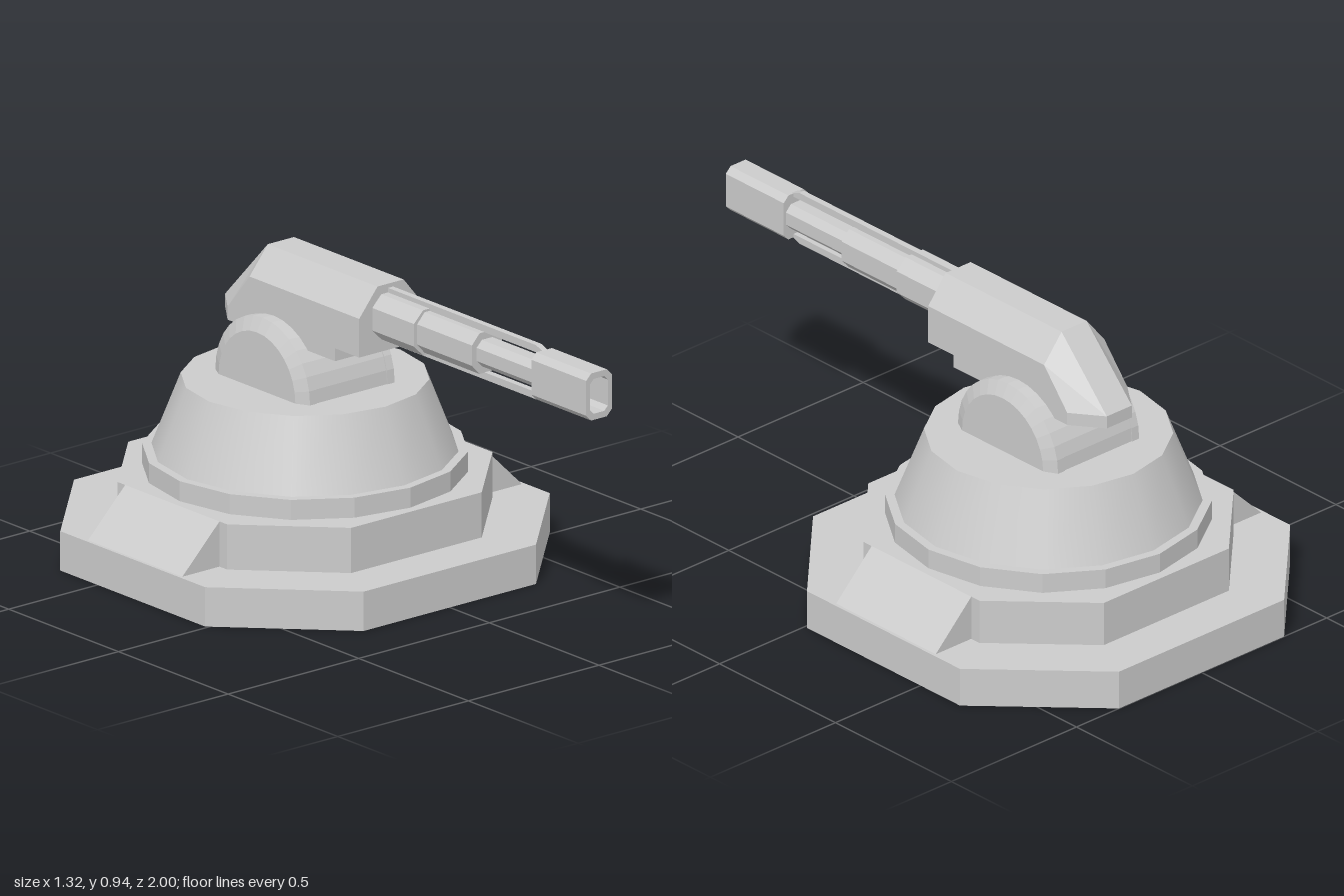
import * as THREE from 'three';

const flat = new THREE.MeshStandardMaterial({ color: 0xcccccc, flatShading: true, side: THREE.DoubleSide });
const smooth = new THREE.MeshStandardMaterial({ color: 0xcccccc });

const TURRET_Z = -0.34;
const BARREL_Y = 0.838;

function add(parent, name, geometry, material = flat) {
  const mesh = new THREE.Mesh(geometry, material);
  mesh.name = name;
  parent.add(mesh);
  return mesh;
}

// Octagon with half-width w, half-height h and flat edges of half-length a (across) and b (upright)
function octagon(w, h, a, b) {
  const points = [[w, -b], [w, b], [a, h], [-a, h], [-w, b], [-w, -b], [-a, -h], [a, -h]];
  return points.map(([x, y]) => new THREE.Vector2(x, y));
}

function extrude(outline, depth, hole) {
  const shape = new THREE.Shape(outline);
  if (hole) shape.holes.push(new THREE.Path(hole));
  return new THREE.ExtrudeGeometry(shape, { depth, bevelEnabled: false });
}

// Horizontal slab standing from y0 to y1
function slab(outline, y0, y1, hole) {
  return extrude(outline, y1 - y0, hole).rotateX(-Math.PI / 2).translate(0, y0, 0);
}

// Gun housing lofted from eight-point sections; the last one folds back to make the tail
function housingGeometry() {
  // [outer z, inner z, bottom y, shoulder y, top y]
  const sections = [
    [0.05, 0.05, 0.73, 0.85, 0.935],
    [-0.06, -0.06, 0.73, 0.85, 0.935],
    [-0.06, -0.06, 0.69, 0.85, 0.935],
    [-0.45, -0.45, 0.69, 0.85, 0.935],
    [-0.55, -0.645, 0.69, 0.73, 0.73],
  ];
  const pos = [];
  for (const [zo, zi, b, s, t] of sections) {
    pos.push(0.05, b, zi, 0.12, b, zo, 0.12, s, zo, 0.05, t, zi);
    pos.push(-0.05, t, zi, -0.12, s, zo, -0.12, b, zo, -0.05, b, zi);
  }
  const index = [];
  const quad = (a, b, c, d) => index.push(a, b, c, a, c, d);
  for (let i = 0; i < sections.length - 1; i++) {
    for (let j = 0; j < 8; j++) {
      const k = (j + 1) % 8;
      quad(i * 8 + j, i * 8 + 8 + j, i * 8 + 8 + k, i * 8 + k);
    }
  }
  const e = (sections.length - 1) * 8;
  for (const [a, b, c, d] of [[0, 1, 2, 3], [0, 3, 4, 7], [7, 4, 5, 6]]) {
    quad(a, b, c, d); // front
    quad(e + d, e + c, e + b, e + a); // tail
  }
  const geometry = new THREE.BufferGeometry();
  geometry.setAttribute('position', new THREE.Float32BufferAttribute(pos, 3));
  geometry.setIndex(index);
  const faceted = geometry.toNonIndexed();
  faceted.computeVertexNormals();
  return faceted;
}

function buildBase() {
  const base = new THREE.Group();
  base.name = 'base';
  base.position.z = TURRET_Z;

  // Hollow foot, open underneath
  const foot = octagon(0.66, 0.66, 0.33, 0.33);
  add(base, 'footSkirt', slab(foot, 0, 0.115, octagon(0.655, 0.655, 0.327, 0.327)));
  add(base, 'footTop', slab(foot, 0.115, 0.122));
  add(base, 'upperStep', slab(octagon(0.508, 0.508, 0.25, 0.25), 0.122, 0.262));

  // Sloped ramps on both sides
  for (const side of [1, -1]) {
    const wedge = [[0.5, 0.122], [0.65, 0.122], [0.508, 0.262], [0.5, 0.262]]
      .map(([x, y]) => new THREE.Vector2(side * x, y));
    add(base, side > 0 ? 'leftRamp' : 'rightRamp', extrude(wedge, 0.43)).position.z = -0.215;
  }

  // Collar ring and tapered drum
  add(base, 'collar', new THREE.CylinderGeometry(0.48, 0.48, 0.062, 16)).position.y = 0.293;
  add(base, 'drum', new THREE.CylinderGeometry(0.366, 0.452, 0.221, 16), smooth).position.y = 0.4345;
  return base;
}

function buildMount() {
  const mount = new THREE.Group();
  mount.name = 'mount';
  mount.position.set(0, 0.545, TURRET_Z);

  // Half-round cradle lying along x
  const cradle = new THREE.CylinderGeometry(0.213, 0.213, 0.28, 16, 1, false, 0, Math.PI);
  add(mount, 'cradle', cradle.rotateZ(Math.PI / 2));

  // Half-round cheeks with a chamfered outer edge
  const profile = [[0, 0.135], [0.216, 0.135], [0.216, 0.162], [0.175, 0.184], [0, 0.184]]
    .map(([r, h]) => new THREE.Vector2(r, h));
  for (const side of [1, -1]) {
    const cheek = new THREE.LatheGeometry(profile, 16, 0, Math.PI).rotateZ(Math.PI / 2);
    if (side > 0) cheek.rotateY(Math.PI);
    add(mount, side > 0 ? 'leftCheek' : 'rightCheek', cheek);
  }
  return mount;
}

function buildGun() {
  const gun = new THREE.Group();
  gun.name = 'gun';
  add(gun, 'housing', housingGeometry());

  // Barrel stages: name, z start, z end, half-width, half-height
  const stages = [
    ['barrelRoot', 0.04, 0.24, 0.07, 0.07],
    ['barrelMiddle', 0.24, 0.49, 0.058, 0.063],
    ['barrelTip', 0.49, 0.76, 0.04, 0.041],
  ];
  for (const [name, z0, z1, w, h] of stages) {
    const stage = extrude(octagon(w, h, w * 0.5, h * 0.5), z1 - z0);
    add(gun, name, stage).position.set(0, BARREL_Y, z0);
  }

  // Hollow muzzle with a closed back
  const outer = octagon(0.049, 0.073, 0.03, 0.054);
  add(gun, 'muzzleBack', extrude(outer, 0.05)).position.set(0, BARREL_Y, 0.75);
  const muzzle = extrude(outer, 0.2, octagon(0.034, 0.054, 0.02, 0.04));
  add(gun, 'muzzle', muzzle).position.set(0, BARREL_Y, 0.8);

  // Thin rails above and below the barrel, tapering into the muzzle
  for (const side of [1, -1]) {
    const rail = [[0.04, 0.062], [0.755, 0.062], [0.755, 0.073], [0.725, 0.084], [0.04, 0.084]]
      .map(([z, y]) => new THREE.Vector2(-z, side * y));
    const geometry = extrude(rail, 0.02).translate(0, 0, -0.01).rotateY(Math.PI / 2);
    add(gun, side > 0 ? 'topRail' : 'bottomRail', geometry).position.y = BARREL_Y;
  }
  return gun;
}

export function createModel() {
  const model = new THREE.Group();
  model.name = 'gunTurret';
  model.add(buildBase(), buildMount(), buildGun());
  return model;
}
